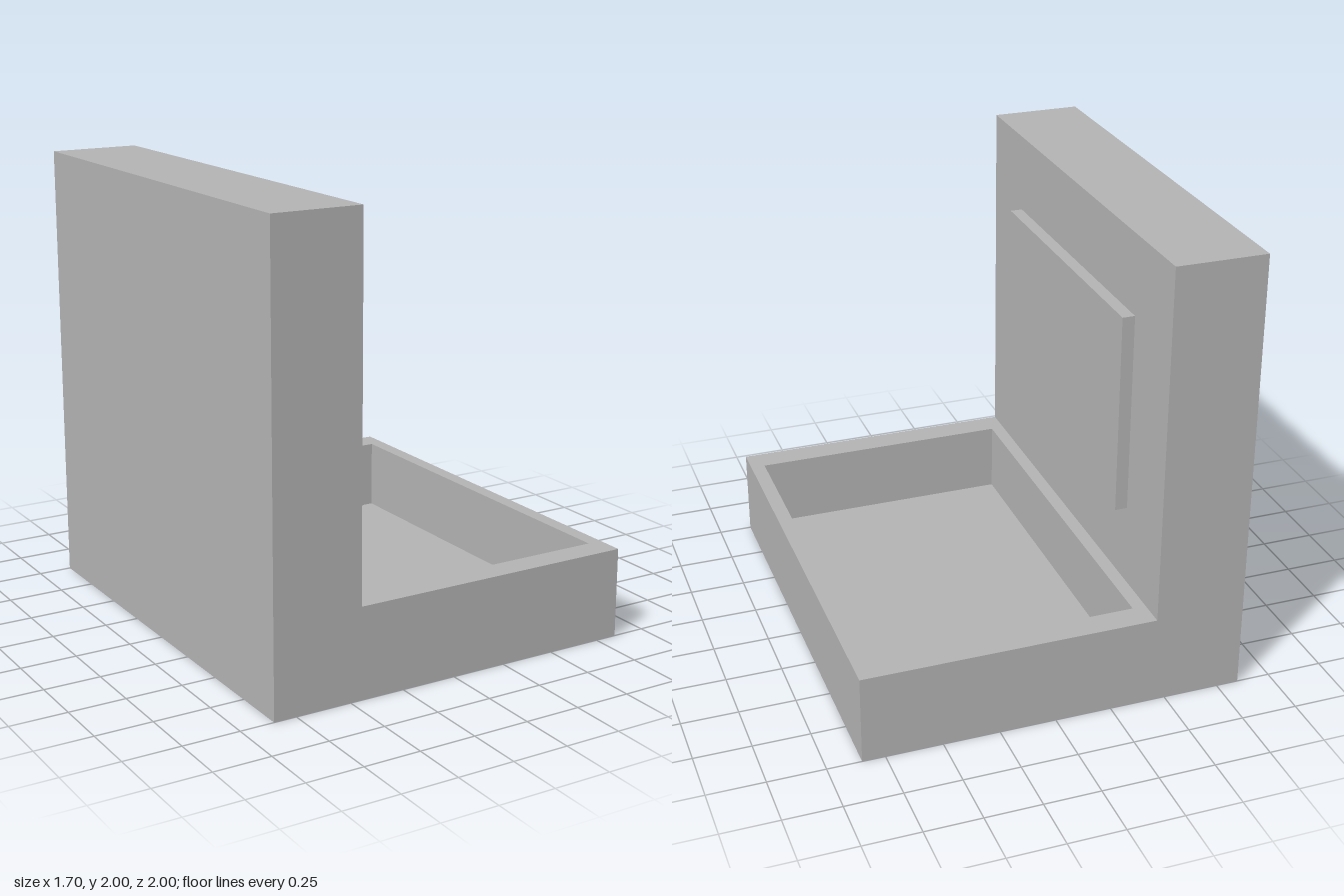
import * as THREE from 'three';

export function createModel() {
  const model = new THREE.Group();
  const grey = new THREE.MeshStandardMaterial({ color: 0xb2b2b2 });
  grey.name = 'plain grey';

  const add = (name, geometry) => {
    const mesh = new THREE.Mesh(geometry, grey);
    mesh.name = name;
    model.add(mesh);
  };

  // Box given by its minimum and maximum corners
  const box = (name, [x0, y0, z0], [x1, y1, z1]) => {
    const geometry = new THREE.BoxGeometry(x1 - x0, y1 - y0, z1 - z0);
    geometry.translate((x0 + x1) / 2, (y0 + y1) / 2, (z0 + z1) / 2);
    add(name, geometry);
  };

  // Rectangle outline in the ground plane, symmetric in z
  const rectangle = (Type, x0, x1, halfZ) => new Type([
    new THREE.Vector2(x0, -halfZ), new THREE.Vector2(x1, -halfZ),
    new THREE.Vector2(x1, halfZ), new THREE.Vector2(x0, halfZ),
  ]);

  // Upright wall with a raised panel on its inner face
  box('uprightWall', [-0.85, 0, -1], [-0.45, 2, 1]);
  box('raisedPanel', [-0.45, 0.755, -0.65], [-0.395, 1.65, 0.65]);

  // Tray: thin floor and a rim around the rectangular recess
  const floorY = 0.08;
  box('trayFloor', [-0.45, 0, -1], [0.85, floorY, 1]);
  const outline = rectangle(THREE.Shape, -0.45, 0.85, 1);
  outline.holes.push(rectangle(THREE.Path, -0.39, 0.785, 0.88));
  const rim = new THREE.ExtrudeGeometry(outline, { depth: 0.4 - floorY, bevelEnabled: false });
  rim.rotateX(-Math.PI / 2).translate(0, floorY, 0);
  add('trayRim', rim);

  return model;
}
